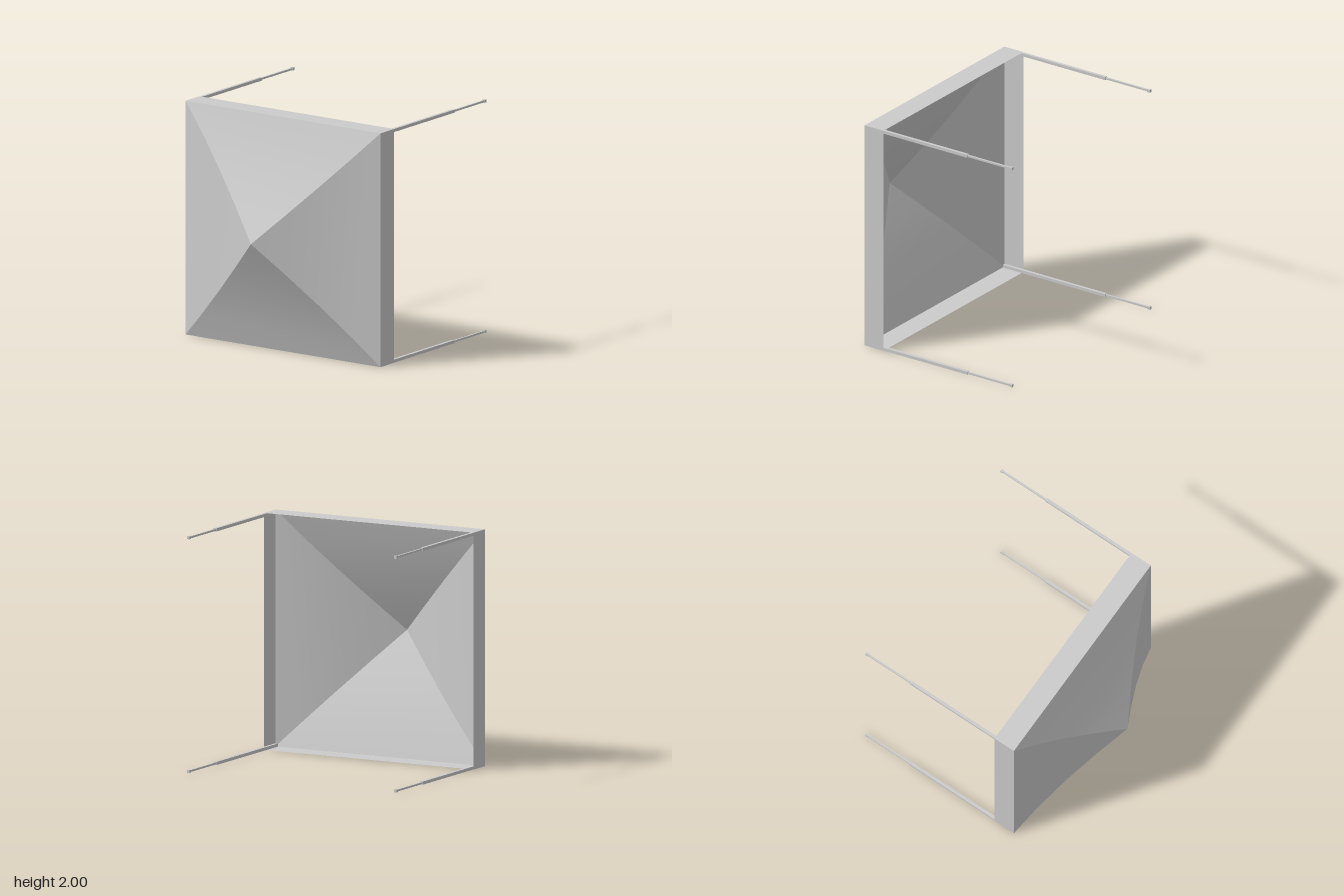
import * as THREE from 'three';
import { toCreasedNormals } from 'three/addons/utils/BufferGeometryUtils.js';

export function createModel() {
  const model = new THREE.Group();
  model.name = 'canopyTent';
  const metal = new THREE.MeshStandardMaterial({ color: 0xcccccc });
  const fabric = new THREE.MeshStandardMaterial({ color: 0xcccccc, side: THREE.DoubleSide });

  // Square fabric shell swept from [half width, z] points, lying with its peak to +z
  function squareShell(name, points) {
    const profile = points.map(([r, z]) => new THREE.Vector2(r * Math.SQRT2, z));
    let geometry = new THREE.LatheGeometry(profile, 4);
    geometry.rotateY(Math.PI / 4);
    geometry.rotateX(Math.PI / 2);
    geometry = toCreasedNormals(geometry, Math.PI / 9);
    const mesh = new THREE.Mesh(geometry, fabric);
    mesh.name = name;
    mesh.position.y = 1;
    model.add(mesh);
  }

  // Sagging four-panel roof and the straight valance around it
  squareShell('canopyRoof', [[1, 0.525], [0.765, 0.607], [0.505, 0.718], [0.25, 0.845], [0, 0.982]]);
  squareShell('valance', [[1, 0.33], [1, 0.525]]);

  // Telescoping leg: sections as [name, thickness, front z, back z]
  const sections = [
    ['outerTube', 0.026, 0.52, -0.525],
    ['innerTube', 0.016, -0.525, -0.96],
    ['foot', 0.024, -0.955, -0.982],
  ];
  for (const sx of [-1, 1]) {
    for (const sy of [-1, 1]) {
      const leg = new THREE.Group();
      leg.name = (sy > 0 ? 'upper' : 'lower') + (sx > 0 ? 'Left' : 'Right') + 'Leg';
      leg.position.set(sx * 0.986, 1 + sy * 0.986, 0);
      for (const [name, size, front, back] of sections) {
        const part = new THREE.Mesh(new THREE.BoxGeometry(size, size, front - back), metal);
        part.name = name;
        part.position.z = (front + back) / 2;
        leg.add(part);
      }
      model.add(leg);
    }
  }
  return model;
}
